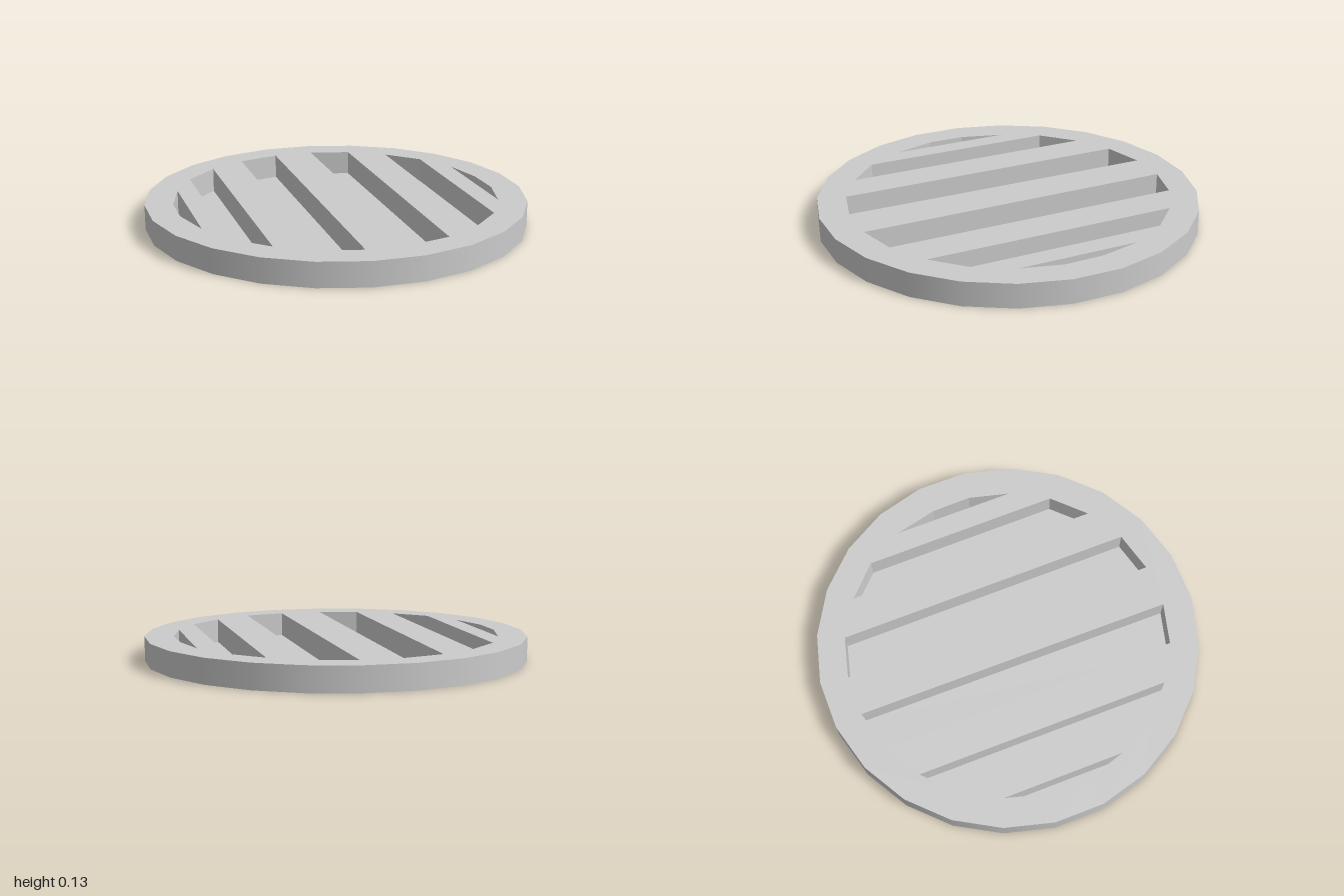
import * as THREE from 'three';

const HEIGHT = 0.13;
const SIDES = 24;
const RADIUS = 1 / Math.cos(Math.PI / SIDES);

// Corners (x, z) of each slot, clockwise seen from above
const SLOTS = [
  [[-0.855, -0.1], [-0.79, -0.33], [-0.79, 0.325], [-0.855, 0.1]],
  [[-0.685, -0.525], [-0.52, -0.685], [-0.52, 0.675], [-0.685, 0.52]],
  [[-0.33, -0.795], [-0.11, -0.855], [-0.115, 0.845], [-0.33, 0.79]],
  [[0.105, -0.855], [0.32, -0.8], [0.33, 0.79], [0.115, 0.845]],
  [[0.515, -0.685], [0.675, -0.53], [0.685, 0.515], [0.525, 0.675]],
  [[0.79, -0.335], [0.845, -0.11], [0.85, 0.1], [0.795, 0.315]],
];

const toPoints = (corners) => corners.map(([x, z]) => new THREE.Vector2(x, -z));

// Horizontal face at height y, pointing up
function flatFace(shape, y) {
  return new THREE.ShapeGeometry(shape).rotateX(-Math.PI / 2).translate(0, y, 0);
}

// Vertical walls around a slot, facing into it
function slotWalls(corners) {
  const positions = [];
  corners.forEach(([ax, az], i) => {
    const [bx, bz] = corners[(i + 1) % corners.length];
    positions.push(
      ax, HEIGHT, az, ax, 0, az, bx, 0, bz,
      ax, HEIGHT, az, bx, 0, bz, bx, HEIGHT, bz,
    );
  });
  const geometry = new THREE.BufferGeometry();
  geometry.setAttribute('position', new THREE.Float32BufferAttribute(positions, 3));
  geometry.computeVertexNormals();
  return geometry;
}

export function createModel() {
  const group = new THREE.Group();
  group.name = 'drainCover';
  const material = new THREE.MeshStandardMaterial({ color: 0xcccccc, side: THREE.DoubleSide });
  const add = (parent, geometry, name) => {
    const mesh = new THREE.Mesh(geometry, material);
    mesh.name = name;
    parent.add(mesh);
  };

  // Outer rim, open underneath
  const rim = new THREE.CylinderGeometry(RADIUS, RADIUS, HEIGHT, SIDES, 1, true, Math.PI / SIDES);
  add(group, rim.translate(0, HEIGHT / 2, 0), 'rim');

  // Top plate with slot openings
  const outline = [];
  for (let i = 0; i < SIDES; i++) {
    const angle = ((i + 0.5) / SIDES) * Math.PI * 2;
    outline.push(new THREE.Vector2(RADIUS * Math.cos(angle), RADIUS * Math.sin(angle)));
  }
  const plate = new THREE.Shape(outline);
  plate.holes = SLOTS.map((corners) => new THREE.Path(toPoints(corners)));
  add(group, flatFace(plate, HEIGHT), 'topPlate');

  // Sunken slots: walls and floor, hanging below the plate
  SLOTS.forEach((corners, i) => {
    const slot = new THREE.Group();
    slot.name = `slot${i + 1}`;
    add(slot, slotWalls(corners), 'slotWalls');
    add(slot, flatFace(new THREE.Shape(toPoints(corners)), 0), 'slotFloor');
    group.add(slot);
  });

  return group;
}
